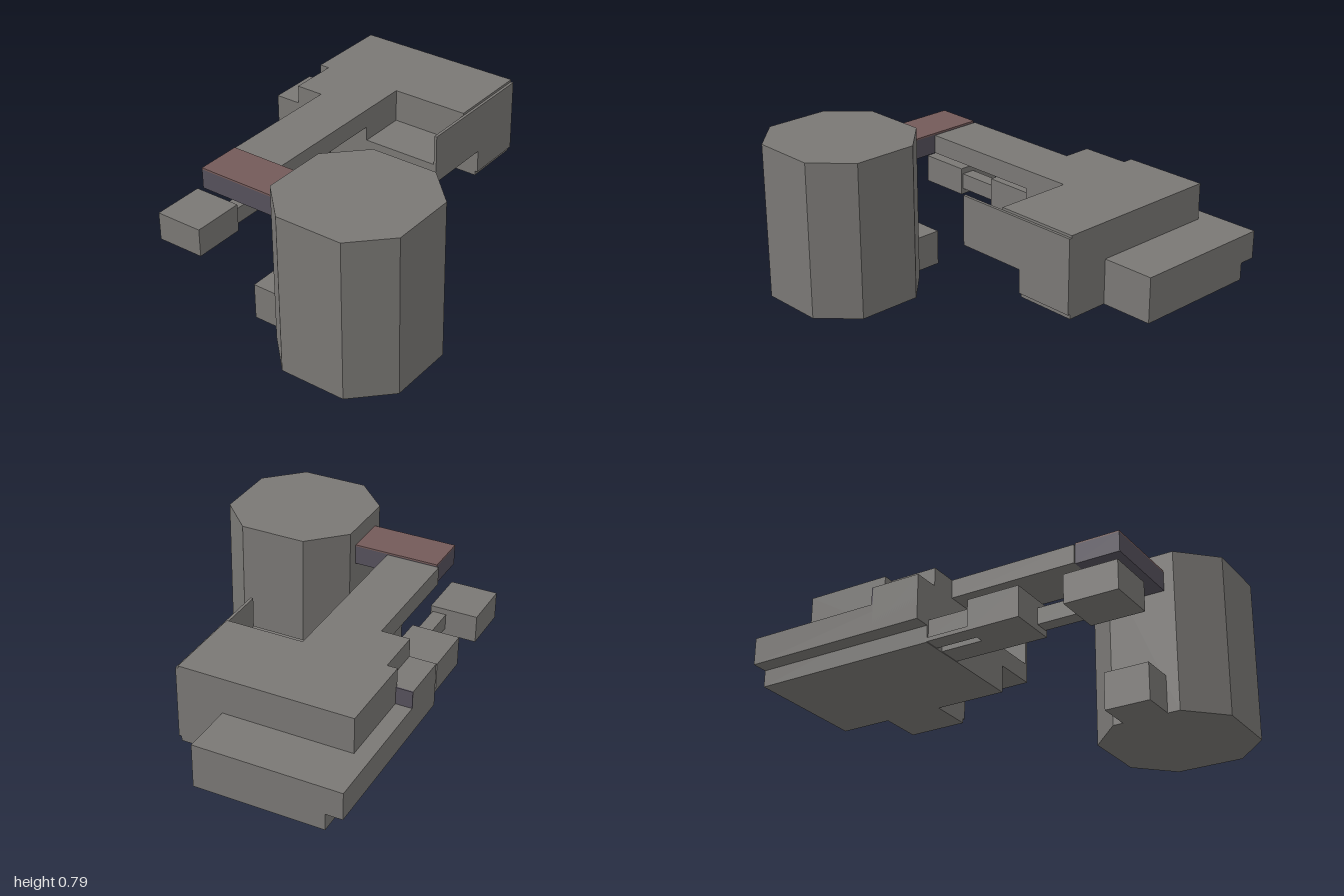
import * as THREE from 'three';

export function createModel() {
  const model = new THREE.Group();
  model.name = 'towerAndBridge';
  const material = (name, color) => {
    const m = new THREE.MeshStandardMaterial({ color });
    m.name = name;
    return m;
  };
  const grey = material('stone grey', 0x7a7875);
  const red = material('dull red', 0x745a59);
  const purple = material('dark purple', 0x56515c);

  const add = (name, geometry, mat) => {
    const mesh = new THREE.Mesh(geometry, mat);
    mesh.name = name;
    model.add(mesh);
    return mesh;
  };
  // Box given by its limits on each axis
  const box = (name, [x0, x1], [y0, y1], [z0, z1], mat = grey) =>
    add(name, new THREE.BoxGeometry(x1 - x0, y1 - y0, z1 - z0), mat)
      .position.set((x0 + x1) / 2, (y0 + y1) / 2, (z0 + z1) / 2);
  // Upright prism from a plan outline of [x, z] points
  const prism = (name, plan, y0, y1) => {
    const shape = new THREE.Shape(plan.map(([x, z]) => new THREE.Vector2(x, -z)));
    const geometry = new THREE.ExtrudeGeometry(shape, { depth: y1 - y0, bevelEnabled: false });
    geometry.rotateX(-Math.PI / 2);
    add(name, geometry, grey).position.y = y0;
  };

  // Eight-sided tower and the block at its foot
  prism('tower', [
    [-0.83, 0.69], [-0.5, 0.69], [-0.33, 0.52], [-0.33, 0.19],
    [-0.5, 0.02], [-0.83, 0.02], [-1, 0.19], [-1, 0.52],
  ], 0, 0.79);
  box('towerFoot', [-0.77, -0.55], [0, 0.18], [-0.15, 0.03]);

  // Bridge from the tower to the main block
  box('bridgeEnd', [-0.78, -0.56], [0.6, 0.695], [-0.41, 0.03], purple);
  box('bridgeEndRoof', [-0.78, -0.56], [0.695, 0.703], [-0.41, 0.03], red);
  box('bridge', [-0.56, 0.09], [0.6, 0.692], [-0.42, -0.15]);

  // Main block with the open corner pocket
  prism('upperBlock', [
    [0.32, 0.235], [0.74, 0.235], [0.74, -0.61], [0.32, -0.61],
    [0.32, -0.56], [0.08, -0.56], [0.08, -0.15], [0.32, -0.15],
  ], 0.435, 0.692);
  box('pocketFloor', [0.08, 0.33], [0.435, 0.53], [-0.16, 0.235]);
  box('frontLeg', [0.44, 0.74], [0.297, 0.45], [0, 0.235]);
  box('frontPlateUpper', [0.08, 0.74], [0.435, 0.68], [0.234, 0.248]);
  box('frontPlateLower', [0.44, 0.74], [0.32, 0.435], [0.234, 0.248]);

  // Wide base slab with its rear lip and raised rear box
  box('baseSlab', [0.08, 1], [0.297, 0.515], [-0.61, 0.02]);
  box('rearLip', [0.08, 1], [0.38, 0.515], [-0.69, -0.6]);
  box('rearBox', [0.08, 0.325], [0.38, 0.6], [-0.69, -0.55]);
  box('rearBoxSide', [0.325, 0.332], [0.515, 0.6], [-0.69, -0.61], purple);

  // Low rear chain: twin rails, middle block, link and end block
  box('outerRailBase', [-0.14, 0.09], [0.3, 0.32], [-0.61, -0.53]);
  box('outerRail', [-0.14, 0.09], [0.32, 0.41], [-0.6, -0.54]);
  box('innerRail', [-0.14, 0.09], [0.3, 0.41], [-0.49, -0.37]);
  box('middleBlock', [-0.39, -0.13], [0.3, 0.45], [-0.61, -0.37]);
  box('link', [-0.62, -0.38], [0.33, 0.41], [-0.45, -0.38]);
  box('endBlock', [-0.87, -0.61], [0.3, 0.44], [-0.61, -0.37]);

  return model;
}
